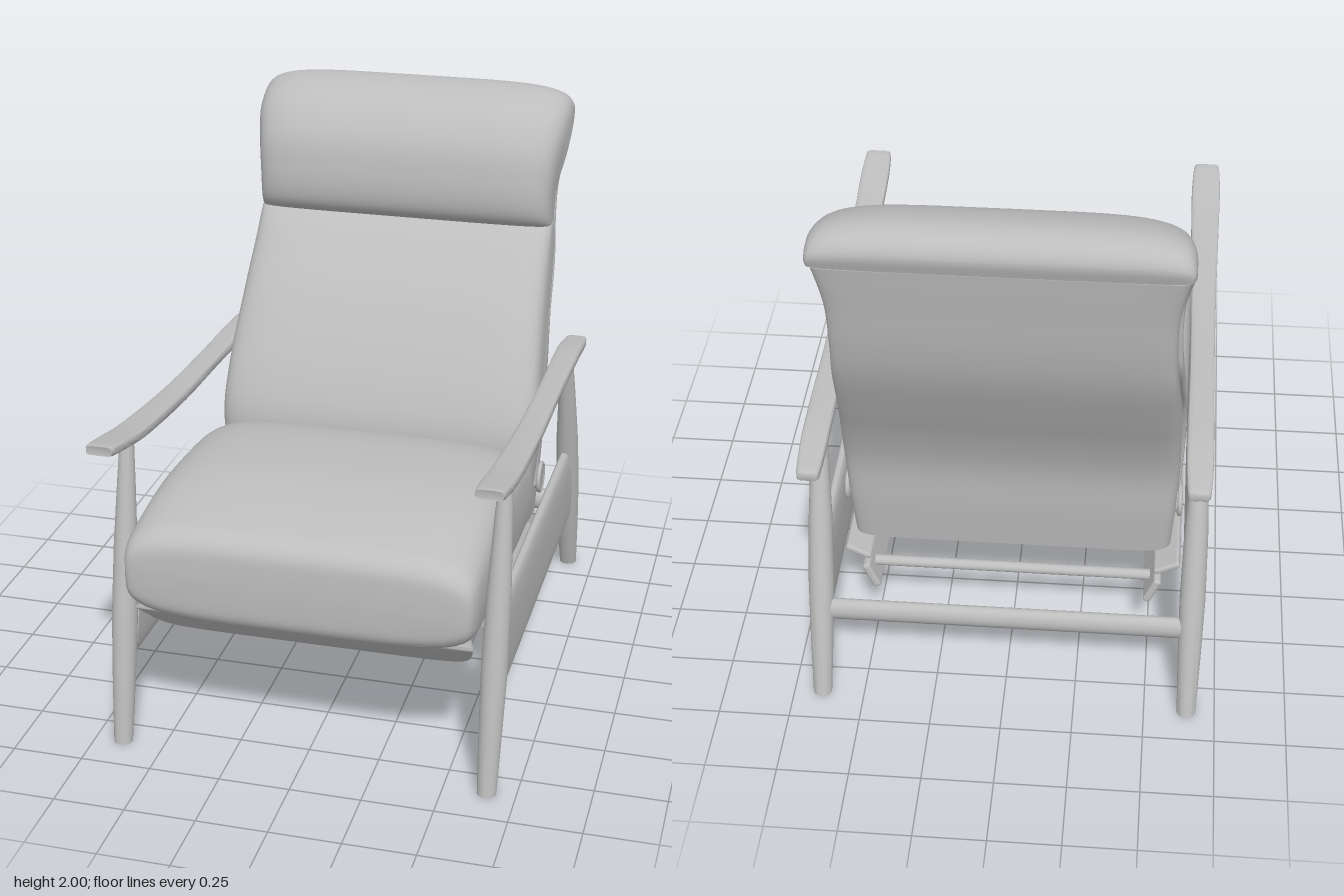
import * as THREE from 'three';
import { toCreasedNormals } from 'three/addons/utils/BufferGeometryUtils.js';
import { RoundedBoxGeometry } from 'three/addons/geometries/RoundedBoxGeometry.js';

// Smoothly fill in k steps between rows of numbers
function smooth(rows, k = 5) {
  const out = [];
  const at = (i) => rows[Math.min(Math.max(i, 0), rows.length - 1)];
  for (let i = 0; i < rows.length - 1; i++) {
    for (let s = 0; s < k; s++) {
      const t = s / k;
      out.push(rows[i].map((b, c) => {
        const a = at(i - 1)[c], d = at(i + 1)[c], e = at(i + 2)[c];
        return b + 0.5 * t * (d - a + t * (2 * a - 5 * b + 4 * d - e + t * (3 * (b - d) + e - a)));
      }));
    }
  }
  out.push(rows[rows.length - 1]);
  return out;
}

const power = (v, e) => Math.sign(v) * Math.abs(v) ** e;

// Closed skin over rings of [x, y, z], capped at both ends
function loft(rings, crease = 0.8) {
  const n = rings[0].length, pos = rings.flat(2), index = [];
  for (let i = 0; i < rings.length - 1; i++) {
    for (let j = 0; j < n; j++) {
      const a = i * n + j, b = i * n + (j + 1) % n;
      index.push(a, a + n, b, b, a + n, b + n);
    }
  }
  [0, rings.length - 1].forEach((i) => {
    const centre = pos.length / 3;
    for (let c = 0; c < 3; c++) pos.push(rings[i].reduce((s, p) => s + p[c], 0) / n);
    for (let j = 0; j < n; j++) {
      const a = i * n + j, b = i * n + (j + 1) % n;
      if (i === 0) index.push(a, b, centre); else index.push(b, a, centre);
    }
  });
  const g = new THREE.BufferGeometry();
  g.setAttribute('position', new THREE.Float32BufferAttribute(pos, 3));
  g.setIndex(index);
  return toCreasedNormals(g, crease);
}

// Rounded sections along z; rows are [z, top, bottom, half width]
function zLoft(rows, n, k = 5, slant = () => 0) {
  return loft(smooth(rows, k).map(([z, top, bot, w], i) => Array.from({ length: 48 }, (_, j) => {
    const t = j / 48 * Math.PI * 2;
    const y = (top + bot) / 2 + (top - bot) / 2 * power(Math.sin(t), 2 / n);
    return [w * power(Math.cos(t), 2 / n), y, z + slant(i, y)];
  })));
}

// D-shaped sections up the back; rows are [faceZ, faceY, seamZ, seamY, half width]
function backLoft(rows, n) {
  return loft(smooth(rows).map(([fz, fy, rz, ry, w]) => Array.from({ length: 41 }, (_, j) => {
    const t = j / 40 * Math.PI, d = j === 40 ? 0 : Math.sin(t) ** (2 / n);
    return [w * power(Math.cos(t), 2 / n), ry + (fy - ry) * d, rz + (fz - rz) * d];
  })));
}

// Tapered round leg from foot to top, cut level at the floor
function legGeometry(foot, top) {
  const dir = top.clone().sub(foot), len = dir.length();
  const radii = [[0, 0], [0, 0.033], [0.2, 0.04], [0.42, 0.045], [0.65, 0.041], [0.85, 0.032], [1, 0.024], [1, 0]];
  const g = new THREE.LatheGeometry(radii.map(([t, r]) => new THREE.Vector2(r, t * len)), 24);
  g.applyQuaternion(new THREE.Quaternion().setFromUnitVectors(new THREE.Vector3(0, 1, 0), dir.normalize()));
  g.translate(foot.x, foot.y, foot.z);
  const p = g.attributes.position;
  for (let i = 0; i < p.count; i++) if (p.getY(i) < 0.012) p.setY(i, 0);
  return toCreasedNormals(g, 0.8);
}

export function createModel() {
  const chair = new THREE.Group();
  chair.name = 'reclinerChair';
  const grey = new THREE.MeshStandardMaterial({ color: 0xbdbdbd });
  grey.name = 'grey';
  const add = (name, geometry, x = 0, y = 0, z = 0) => {
    const m = new THREE.Mesh(geometry, grey);
    m.name = name;
    m.position.set(x, y, z);
    chair.add(m);
    return m;
  };

  // Seat cushion and the folded leg rest below it
  add('seatCushion', zLoft([
    [0.912, 0.76, 0.63, 0.54], [0.904, 0.82, 0.57, 0.585], [0.87, 0.862, 0.53, 0.603], [0.8, 0.888, 0.515, 0.61],
    [0.6, 0.927, 0.5, 0.612], [0.4, 0.94, 0.48, 0.612], [0.1, 0.92, 0.45, 0.61], [-0.1, 0.85, 0.45, 0.607],
    [-0.2, 0.745, 0.45, 0.6], [-0.225, 0.68, 0.48, 0.58]], 4.2));
  add('legRest', zLoft([
    [0.83, 0.54, 0.525, 0.588], [0.77, 0.535, 0.46, 0.575], [0.69, 0.52, 0.39, 0.555],
    [0.6, 0.5, 0.35, 0.537], [0.45, 0.5, 0.325, 0.525], [-0.3, 0.5, 0.32, 0.52]], 7));

  // Back cushion, headrest roll and rear shell
  add('backCushion', backLoft([
    [-0.18, 0.56, -0.3, 0.56, 0.58], [-0.13, 0.8, -0.31, 0.8, 0.603], [-0.19, 1.0, -0.38, 1.0, 0.597],
    [-0.34, 1.25, -0.55, 1.22, 0.582], [-0.49, 1.43, -0.665, 1.38, 0.572], [-0.57, 1.505, -0.69, 1.48, 0.567],
    [-0.62, 1.535, -0.7, 1.53, 0.562]], 6));
  add('headrest', backLoft([
    [-0.62, 1.505, -0.69, 1.49, 0.56], [-0.565, 1.54, -0.69, 1.52, 0.562], [-0.537, 1.6, -0.692, 1.56, 0.562],
    [-0.535, 1.7, -0.7, 1.62, 0.565], [-0.565, 1.83, -0.72, 1.69, 0.575], [-0.66, 1.95, -0.75, 1.76, 0.591],
    [-0.8, 2.0, -0.8, 1.82, 0.598], [-0.895, 1.99, -0.85, 1.85, 0.597], [-0.935, 1.935, -0.88, 1.865, 0.595],
    [-0.92, 1.87, -0.89, 1.868, 0.59]], 5));
  const shell = [
    [-0.5, 0.42, -0.28, 0.45, -0.57], [-0.525, 0.6, -0.3, 0.6, -0.58], [-0.55, 0.8, -0.31, 0.8, -0.588],
    [-0.615, 0.98, -0.38, 1.0, -0.583], [-0.7, 1.15, -0.54, 1.21, -0.57], [-0.8, 1.36, -0.665, 1.38, -0.56],
    [-0.85, 1.52, -0.69, 1.5, -0.553], [-0.885, 1.7, -0.715, 1.66, -0.555], [-0.915, 1.865, -0.81, 1.83, -0.58]];
  add('backShell', backLoft(shell, 12));

  // Rail joining the back legs, and rods under the seat
  const rearRail = add('rearRail', new THREE.CylinderGeometry(0.042, 0.042, 1.28, 24), 0, 0.315, -0.77);
  rearRail.rotation.z = Math.PI / 2;
  rearRail.scale.z = 0.65;
  for (const z of [0.09, -0.48]) {
    add('crossRod', new THREE.CylinderGeometry(0.02, 0.02, 1.0, 16), 0, 0.29, z).rotation.z = Math.PI / 2;
  }

  for (const s of [1, -1]) {
    // Legs
    add('frontLeg', legGeometry(new THREE.Vector3(s * 0.65, 0, 0.853), new THREE.Vector3(s * 0.652, 1.09, 0.672)));
    add('backLeg', legGeometry(new THREE.Vector3(s * 0.65, 0, -0.866), new THREE.Vector3(s * 0.652, 1.02, -0.567)));

    // Bowed side rail, its ends following the legs
    add('sideRail', zLoft([[0.73, 0.627, 0.291, 0.028], [-0.7, 0.584, 0.25, 0.028]], 2.8, 1,
      (i, y) => (i === 0 ? -0.18 * (y - 0.46) : 0.3 * (y - 0.42))), s * 0.645);

    // Sweeping armrest
    add('armrest', zLoft([
      [0.932, 1.168, 1.14, 0.038], [0.92, 1.172, 1.136, 0.048], [0.8, 1.148, 1.112, 0.054], [0.6, 1.112, 1.074, 0.052],
      [0.2, 1.072, 1.032, 0.046], [-0.2, 1.054, 1.016, 0.043], [-0.6, 1.04, 1.0, 0.046], [-0.75, 1.021, 0.981, 0.044],
      [-0.84, 1.006, 0.968, 0.038], [-0.853, 1.0, 0.973, 0.028]], 5), s * 0.648);

    // Piping along the back seam
    const seam = shell.slice(1).map(([, , z, y, w]) => new THREE.Vector3(-s * (w - 0.004), y, z - 0.012));
    add('piping', new THREE.TubeGeometry(new THREE.CatmullRomCurve3(seam), 60, 0.011, 8));

    // Pivot plate on the side of the back
    const pivot = add('pivot', new THREE.CylinderGeometry(0.045, 0.045, 0.03, 24), s * 0.585, 0.59, -0.405);
    pivot.rotation.z = Math.PI / 2;
    const rim = add('pivotRim', new THREE.TorusGeometry(0.052, 0.009, 8, 32), s * 0.594, 0.59, -0.405);
    rim.rotation.y = Math.PI / 2;

    // Folding mechanism brackets
    const arm = add('bracket', new RoundedBoxGeometry(0.03, 0.11, 0.68, 2, 0.012), s * 0.51, 0.258, -0.2);
    arm.rotation.z = -s * 0.4;
    const plate = add('bracketPlate', new RoundedBoxGeometry(0.1, 0.025, 0.6, 2, 0.01), s * 0.56, 0.335, -0.2);
    plate.rotation.z = s * 0.45;
  }
  return chair;
}
